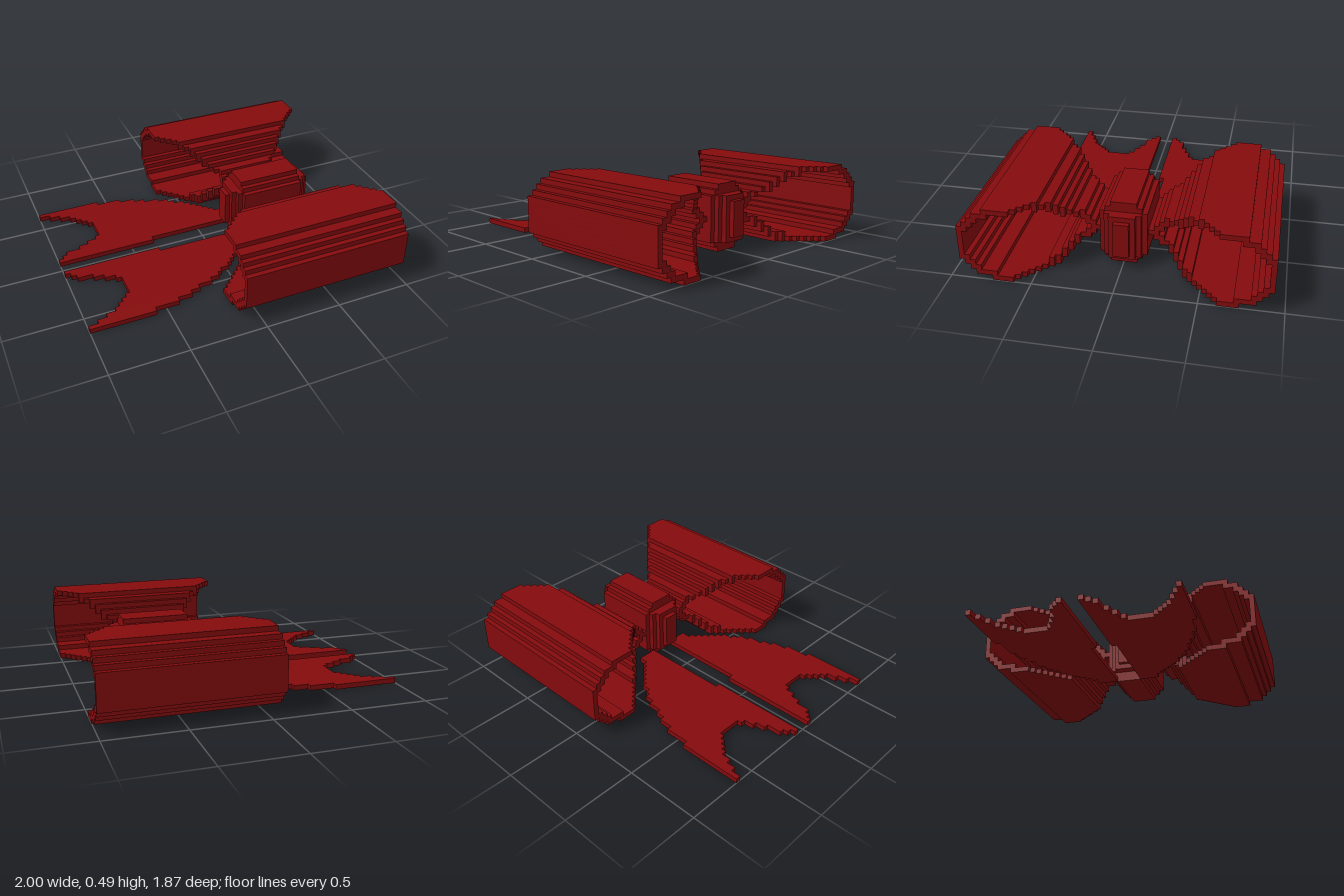
import * as THREE from 'three';
import { mergeGeometries } from 'three/addons/utils/BufferGeometryUtils.js';

// Stepped ribbon bow on a grid: x cells 0..61, y rows 0..15, z cells -28..28
const V = 2 / 61;

// Box from cell edges: x0..x1, y0..y1, and z cells k0..k1 inclusive
function cells(x0, x1, y0, y1, k0, k1) {
  const g = new THREE.BoxGeometry((x1 - x0) * V, (y1 - y0) * V, (k1 - k0 + 1) * V);
  g.translate((x0 + x1) / 2 * V - 1, (y0 + y1) / 2 * V, (k0 + k1) / 2 * V);
  return g;
}

// Loop cross-section: for each row from the ground up, runs of z cells
const loopRows = [
  [[12, 22]],
  [[11, 13], [22, 25]],
  [[10, 11], [25, 26]],
  [[9, 10], [26, 27]],
  [[7, 9], [27, 28]],
  [[6, 7], [28, 28]],
  [[4, 6], [28, 28]],
  [[6, 7], [28, 28]],
  [[7, 8], [28, 28]],
  [[8, 9], [28, 28]],
  [[10, 11], [27, 28]],
  [[11, 12], [26, 27]],
  [[12, 13], [25, 26]],
  [[13, 15], [23, 25]],
  [[15, 23]],
];

// Tail outline: first and last x edge for z cells 2..19
const tailRows = [
  [0, 20], [1, 38], [2, 38], [5, 38], [7, 38], [9, 36], [10, 35], [10, 34], [10, 33],
  [10, 32], [10, 31], [9, 29], [8, 28], [7, 26], [6, 23], [4, 21], [2, 18], [0, 13],
];

// Knot layers: x0, x1, y0, y1, half width in z cells
const knotLayers = [
  [35, 54, 3, 10, 1],
  [36, 53, 2, 11, 2],
  [37, 52, 2, 11, 3],
  [38, 51, 2, 11, 4],
  [38, 51, 1, 12, 3],
  [38, 51, 0, 13, 2],
];

export function createModel() {
  const ribbon = new THREE.MeshStandardMaterial({ color: 0x850b0d });
  ribbon.name = 'dark red ribbon';
  const bow = new THREE.Group();
  bow.name = 'bow';
  const add = (name, boxes) => {
    const mesh = new THREE.Mesh(mergeGeometries(boxes), ribbon);
    mesh.name = name;
    bow.add(mesh);
  };

  for (const [side, s] of [['front', 1], ['back', -1]]) {
    const strip = (x0, x1, y, k) => cells(x0, x1, y, y + 1, s * k, s * k);

    // Hollow loop, widening away from the knot
    const loop = [];
    loopRows.forEach((runs, y) => {
      for (const [a, b] of runs) {
        for (let k = a; k <= b; k++) {
          const lo = THREE.MathUtils.clamp(46 - k, 27, 38);
          const hi = THREE.MathUtils.clamp(42 + k, 50, 61);
          loop.push(strip(lo, hi, y, k));
        }
      }
    });
    add(side + 'Loop', loop);

    // Flat swallow-cut tail
    add(side + 'Tail', tailRows.map(([x0, x1], i) => strip(x0, x1, 0, i + 2)));
  }

  // Knot with stepped, rounded corners
  add('knot', knotLayers.map(([x0, x1, y0, y1, k]) => cells(x0, x1, y0, y1, -k, k)));
  return bow;
}
